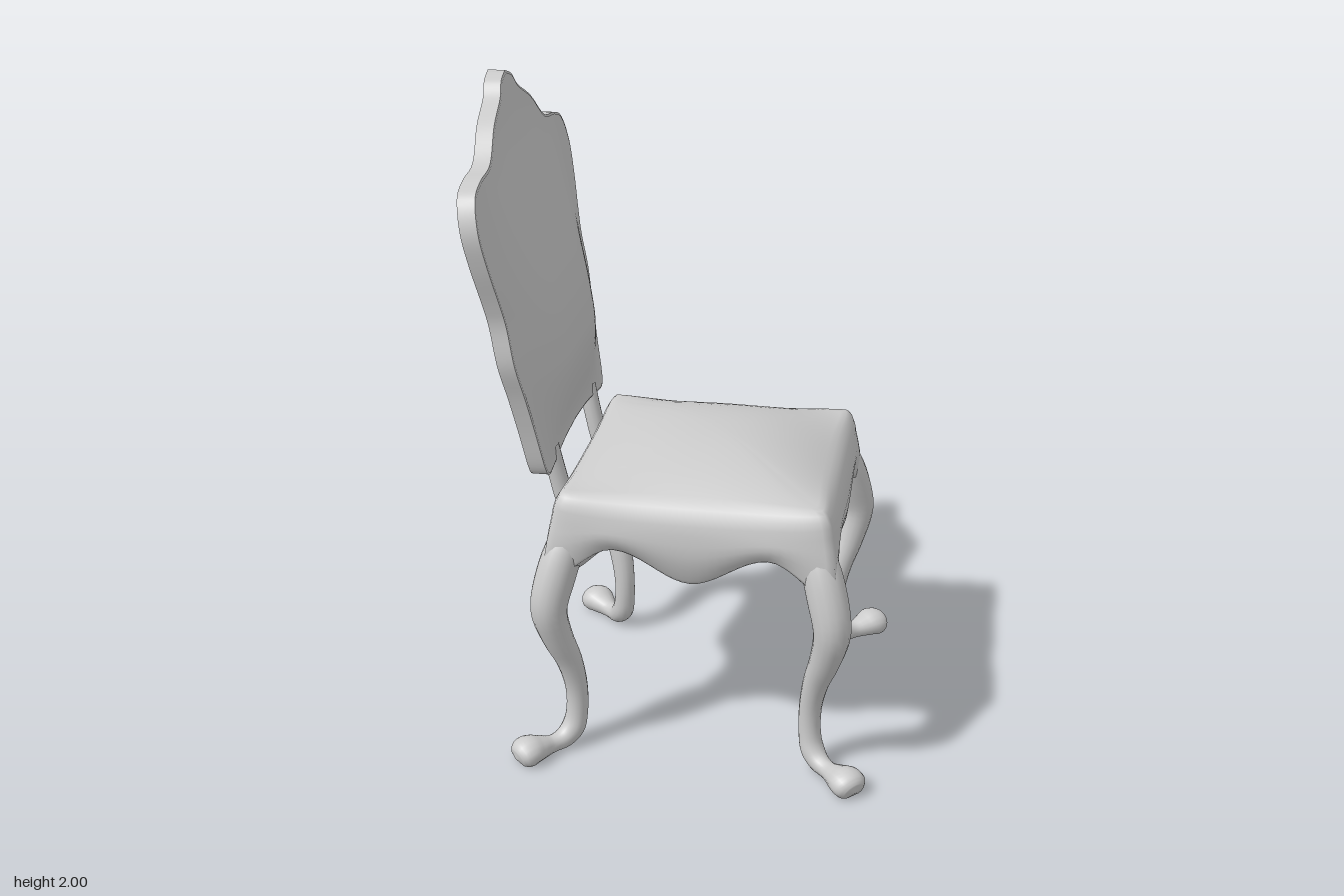
import * as THREE from 'three';
import { toCreasedNormals } from 'three/addons/utils/BufferGeometryUtils.js';

const V2 = (p) => new THREE.Vector2(p[0], p[1]);
const { lerp, smoothstep } = THREE.MathUtils;
const material = new THREE.MeshStandardMaterial({ color: 0xcccccc });
const SEAT_X = 0.06;

function addMesh(parent, name, geometry) {
  const mesh = new THREE.Mesh(geometry, material);
  mesh.name = name;
  parent.add(mesh);
  return mesh;
}

// Skin a list of closed rings (equal point counts) with smooth normals
function loft(rings) {
  const n = rings[0].length;
  const index = [];
  for (let r = 0; r < rings.length - 1; r++) {
    for (let i = 0; i < n; i++) {
      const j = (i + 1) % n;
      const a = r * n + i, b = r * n + j;
      index.push(a, b, a + n, b, b + n, a + n);
    }
  }
  const geometry = new THREE.BufferGeometry();
  geometry.setAttribute('position', new THREE.Float32BufferAttribute(rings.flat(2), 3));
  geometry.setIndex(index);
  geometry.computeVertexNormals();
  return geometry;
}

// Piecewise smooth lookup through [x, y] pairs
function lookup(table, x) {
  for (let i = 1; i < table.length; i++) {
    const [x0, y0] = table[i - 1], [x1, y1] = table[i];
    if (x <= x1) return y0 + (y1 - y0) * smoothstep(x, x0, x1);
  }
  return table[table.length - 1][1];
}

// Domed seat with a scalloped apron that flares into the knees, hollow below
function seatGeometry() {
  const perSide = 32;
  const square = [];
  for (let side = 0; side < 4; side++) {
    for (let i = 0; i < perSide; i++) {
      const t = -1 + (2 * i) / perSide;
      square.push([[1, t], [-t, 1], [-1, -t], [t, -1]][side]);
    }
  }
  const scallop = [[0, 0.605], [0.58, 0.7], [1, 0.6]];
  const ring = (fn) => square.map(([p, q]) => {
    const t = Math.min(Math.abs(p), Math.abs(q));
    const [half, y] = fn(t, p, q);
    const k = half * (1 - 0.035 * t ** 10);
    return [p * k, y, q * k];
  });
  const rings = [];
  // Cushion top, with slightly raised corners
  for (const s of [0, 0.08, 0.18, 0.3, 0.42, 0.54, 0.66, 0.78, 0.88, 0.95, 1]) {
    rings.push(ring((t, p, q) => {
      const dome = (1 - Math.abs(p * s) ** 2.3) * (1 - Math.abs(q * s) ** 2.3);
      return [lerp(0.368, 0.39, t ** 3) * s, 0.854 + 0.091 * dome + 0.008 * (p * q * s * s) ** 2];
    }));
  }
  // Rolled edge, softer at the middle of each side
  for (const [h0, y0, h1, y1] of [
    [0.387, 0.84, 0.4, 0.852], [0.401, 0.82, 0.408, 0.838],
    [0.411, 0.797, 0.414, 0.818], [0.417, 0.77, 0.418, 0.79],
  ]) rings.push(ring((t) => [lerp(h0, h1, t ** 3), lerp(y0, y1, t ** 3)]));
  // Apron face, lip and inner wall
  for (const v of [0.2, 0.4, 0.6, 0.8, 0.93, 1]) {
    rings.push(ring((t) => {
      const top = lerp(0.77, 0.79, t ** 3);
      const flare = 0.052 * v * t ** 3.5;
      const belly = 0.01 * Math.sin(v * Math.PI) * (1 - t * t);
      return [0.417 - 0.022 * v * v + flare + belly, lerp(top, lookup(scallop, t), v)];
    }));
  }
  rings.push(ring((t) => [0.375, lookup(scallop, t) + 0.003]));
  rings.push(ring((t) => [0.36, lookup(scallop, t) + 0.025]));
  rings.push(ring(() => [0.36, 0.76]), ring(() => [0.34, 0.78]), ring(() => [0, 0.79]));
  return loft(rings);
}

// Cabriole leg with a club foot, bent outward along local +x
function legGeometry() {
  // Per-axis offset from the seat centre, height, radius
  const stations = [
    [0.335, 0.79, 0.025], [0.35, 0.75, 0.042], [0.373, 0.69, 0.056], [0.4, 0.6, 0.06],
    [0.419, 0.5, 0.055], [0.402, 0.4, 0.047], [0.373, 0.3, 0.039], [0.357, 0.2, 0.034],
    [0.358, 0.11, 0.034], [0.368, 0.065, 0.036], [0.39, 0.038, 0.032], [0.422, 0.03, 0.027],
    [0.455, 0.034, 0.036], [0.481, 0.037, 0.044], [0.499, 0.029, 0.04], [0.508, 0.024, 0.028],
  ];
  const path = new THREE.CatmullRomCurve3(
    stations.map(([d, y, r]) => new THREE.Vector3(d * Math.SQRT2, y, r)), false, 'centripetal');
  const sides = 16, steps = 60;
  const rings = [];
  for (let i = 0; i <= steps; i++) {
    const c = path.getPoint(i / steps);
    const tan = path.getTangent(i / steps);
    const len = Math.hypot(tan.x, tan.y);
    const nx = -tan.y / len, ny = tan.x / len;
    const wide = 1 + 0.25 * smoothstep(c.x, 0.58, 0.66);
    rings.push(Array.from({ length: sides }, (_, k) => {
      const a = (k / sides) * Math.PI * 2;
      const u = c.z * Math.cos(a);
      return [c.x + nx * u, Math.max(0.003, c.y + ny * u), c.z * wide * Math.sin(a)];
    }));
  }
  // Close both ends
  const [top, toe] = [path.getPoint(0), path.getPoint(1)];
  rings.unshift(rings[0].map(() => [top.x, top.y, 0]));
  rings.push(rings[0].map(() => [toe.x + 0.008, toe.y, 0]));
  return loft(rings);
}

// Raked back: x of the rear face at a given height
const rake = (y) => -0.41 - 0.168 * (y - 0.9);

// Serpentine outline of the back, clockwise from the crest
function backOutline() {
  const half = new THREE.SplineCurve([
    [0, 2.0], [0.055, 1.98], [0.095, 1.94], [0.2, 1.885], [0.3, 1.805], [0.41, 1.786],
    [0.485, 1.755], [0.52, 1.67], [0.505, 1.57], [0.468, 1.45], [0.454, 1.38], [0.456, 1.27],
    [0.425, 1.16], [0.4, 1.05], [0.378, 0.935], [0.352, 0.903], [0.3, 0.905], [0.15, 0.925], [0, 0.932],
  ].map(V2)).getPoints(90);
  const mirrored = half.slice(1, -1).reverse().map((p) => new THREE.Vector2(-p.x, p.y));
  return [...half, ...mirrored];
}

function backPanelGeometry(outline) {
  const geometry = new THREE.ExtrudeGeometry(new THREE.Shape(outline), { depth: 0.05, bevelEnabled: false });
  geometry.rotateY(Math.PI / 2);
  const pos = geometry.attributes.position;
  for (let i = 0; i < pos.count; i++) pos.setX(i, pos.getX(i) + rake(pos.getY(i)));
  return toCreasedNormals(geometry, 0.6);
}

// Padded front of the back: fullest low down, fading to the crest and sides
function backPadGeometry(outline) {
  const midY = 1.3;
  const fullness = [[0.88, 0], [1.22, 0.07], [1.28, 0.071], [1.94, 0]];
  const rings = [];
  for (let k = 0; k <= 24; k++) {
    const s = (k / 24) * 0.99;
    rings.push(outline.map((p) => {
      const y = midY + (p.y - midY) * s;
      const z = -p.x * s;
      const across = 1 - smoothstep(Math.abs(z), 0.13, 0.52);
      const swell = lookup(fullness, y) * across * (1 - s ** 8);
      return [rake(y) + 0.0515 + swell, y, z];
    }));
  }
  return loft(rings);
}

export function createModel() {
  const chair = new THREE.Group();
  chair.name = 'chair';

  const seat = addMesh(chair, 'seat', seatGeometry());
  seat.position.x = SEAT_X;

  const legs = new THREE.Group();
  legs.name = 'legs';
  legs.position.x = SEAT_X;
  chair.add(legs);
  const leg = legGeometry();
  ['frontRightLeg', 'backRightLeg', 'backLeftLeg', 'frontLeftLeg'].forEach((name, i) => {
    addMesh(legs, name, leg).rotation.y = Math.PI / 4 + (i * Math.PI) / 2;
  });

  const back = new THREE.Group();
  back.name = 'back';
  chair.add(back);
  const outline = backOutline();
  addMesh(back, 'backPanel', backPanelGeometry(outline));
  addMesh(back, 'backPad', backPadGeometry(outline));

  // Short posts joining the back to the seat
  for (const side of [-1, 1]) {
    const path = new THREE.CatmullRomCurve3([
      [-0.315, 0.7, 0.235], [-0.343, 0.76, 0.235], [-0.365, 0.85, 0.238], [-0.386, 0.95, 0.245],
    ].map(([x, y, z]) => new THREE.Vector3(x, y, z * side)));
    addMesh(back, side > 0 ? 'leftPost' : 'rightPost', new THREE.TubeGeometry(path, 12, 0.028, 12));
  }
  return chair;
}
